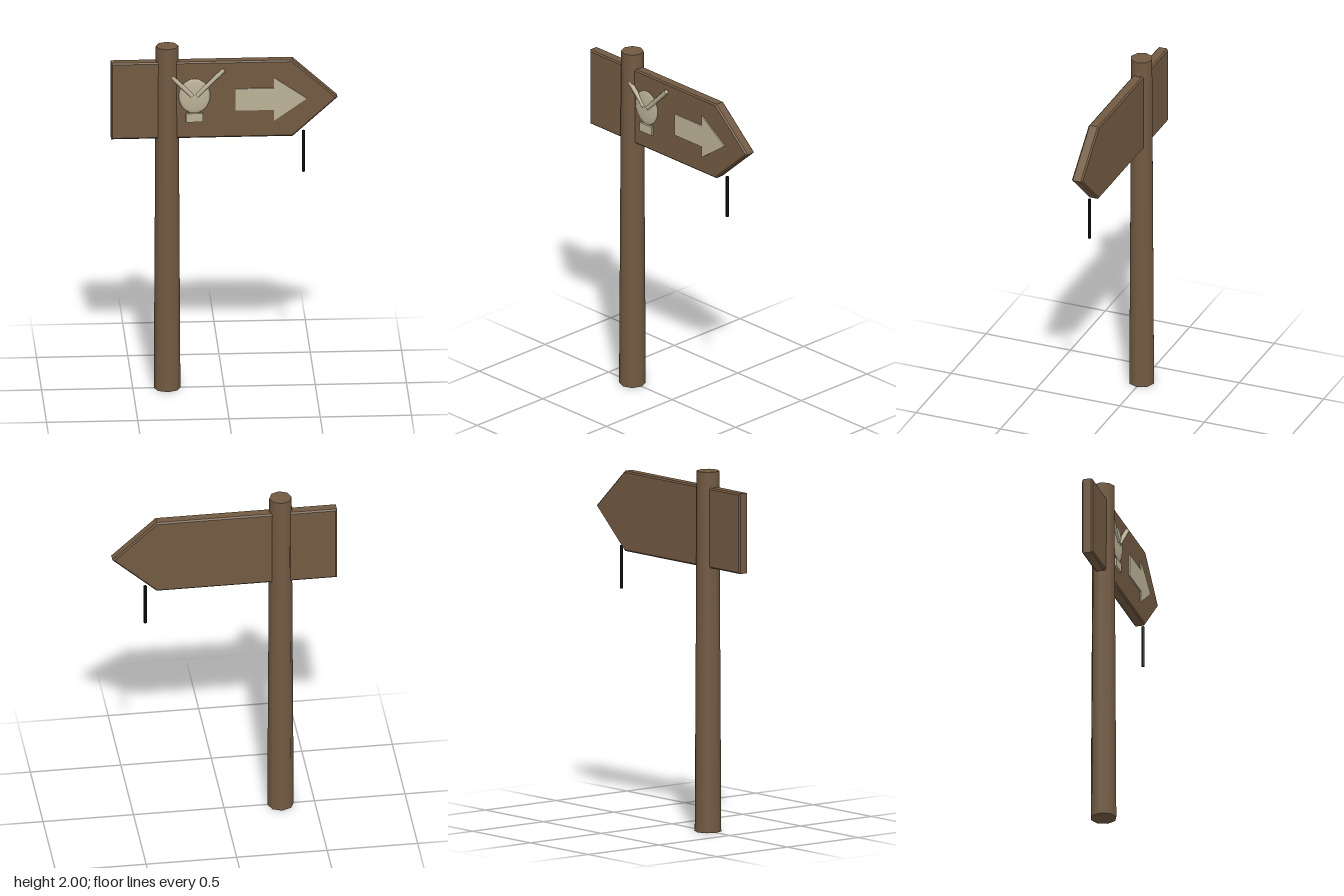
import * as THREE from 'three';

const wood = new THREE.MeshStandardMaterial({ color: 0x725a42, name: 'wood' });
const bone = new THREE.MeshStandardMaterial({ color: 0xbcb298, name: 'bone paint' });
const iron = new THREE.MeshStandardMaterial({ color: 0x0d0d0d, name: 'black iron' });

const FRONT = 0.031; // front face of the board

function outline(points) {
  return new THREE.Shape(points.map(([x, y]) => new THREE.Vector2(x, y)));
}

export function createModel() {
  const model = new THREE.Group();
  model.name = 'signpost';

  const add = (name, geometry, material, x = 0, y = 0, z = 0) => {
    const mesh = new THREE.Mesh(geometry, material);
    mesh.name = name;
    mesh.position.set(x, y, z);
    model.add(mesh);
    return mesh;
  };

  // Tapered eight-sided post
  add('post', new THREE.CylinderGeometry(0.062, 0.073, 2, 8), wood, -0.312, 1, 0);

  // Pointed board with a small chamfer all round
  const bevel = 0.008;
  const board = new THREE.ExtrudeGeometry(
    outline([[-0.62, 1.468], [0.375, 1.468], [0.62, 1.69], [0.375, 1.913], [-0.62, 1.913]]),
    {
      depth: 2 * (FRONT - bevel), bevelEnabled: true, bevelSegments: 1,
      bevelSize: bevel, bevelOffset: -bevel, bevelThickness: bevel,
    },
  );
  add('board', board, wood, 0, 0, bevel - FRONT);

  // Raised arrow
  const arrow = new THREE.ExtrudeGeometry(
    outline([
      [0.06, 1.627], [0.272, 1.627], [0.272, 1.563], [0.452, 1.69],
      [0.272, 1.815], [0.272, 1.754], [0.06, 1.754],
    ]),
    { depth: 0.007, bevelEnabled: false },
  );
  add('arrow', arrow, bone, 0, 0, FRONT);

  // Flattened skull with its jaw
  const skullX = -0.164;
  const skullY = 1.717;
  const skull = add('skull', new THREE.SphereGeometry(1, 12, 10), bone, skullX, skullY, 0.035);
  skull.scale.set(0.087, 0.1, 0.011);
  add('jaw', new THREE.BoxGeometry(0.095, 0.05, 0.014), bone, skullX, 1.591, 0.036);

  // Two bones fanning out from behind the skull
  for (const side of [-1, 1]) {
    const length = 0.21;
    const reach = 0.124 * Math.SQRT1_2;
    const limb = add(
      side < 0 ? 'rightBone' : 'leftBone',
      new THREE.CylinderGeometry(0.0125, 0.0125, length, 8),
      bone, skullX + side * reach, skullY - 0.01 + reach, 0.041,
    );
    limb.rotation.z = -side * Math.PI / 4;
  }

  // Short rod hanging below the tip
  add('hangingRod', new THREE.CylinderGeometry(0.009, 0.009, 0.24, 6), iron, 0.435, 1.37, 0);

  return model;
}
